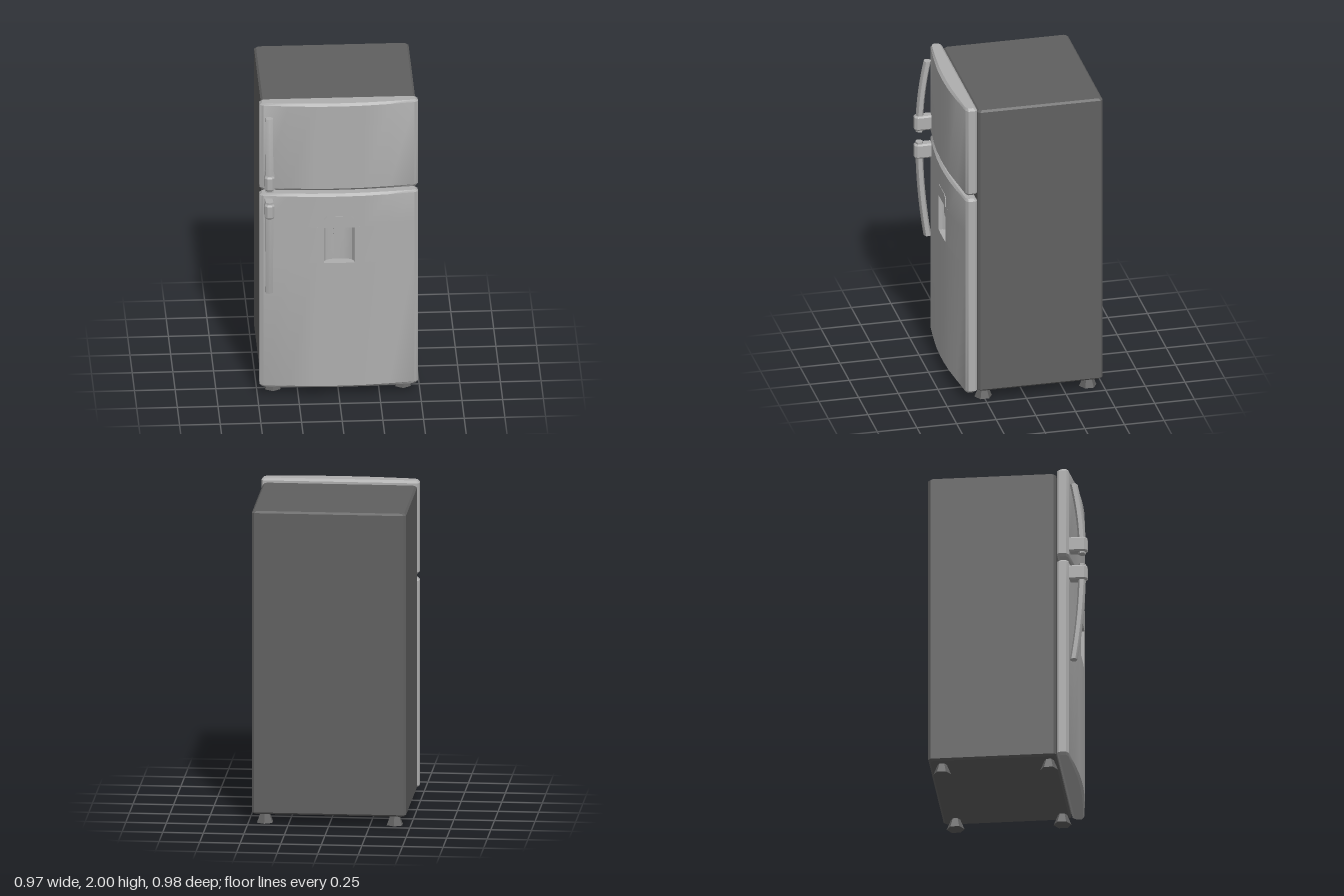
import * as THREE from 'three';
import { toCreasedNormals } from 'three/addons/utils/BufferGeometryUtils.js';

const lightSteel = new THREE.MeshStandardMaterial({ name: 'light steel', color: 0xaeaeae });
const darkGrey = new THREE.MeshStandardMaterial({ name: 'dark grey', color: 0x606060 });

// Solid from an [x, z] outline stacked along y; each level is [y, inset, zShift]
function loft(outline, levels, crease = 0.5) {
  const pts = outline.map(([x, z]) => new THREE.Vector2(x, -z));
  if (THREE.ShapeUtils.isClockWise(pts)) pts.reverse();
  const box = new THREE.Box2().setFromPoints(pts);
  const c = box.getCenter(new THREE.Vector2());
  const half = box.getSize(new THREE.Vector2()).multiplyScalar(0.5);
  const n = pts.length, pos = [], idx = [];
  for (const [y, inset = 0, dz = 0] of levels) {
    for (const p of pts) {
      pos.push(c.x + (p.x - c.x) * (1 - inset / half.x), y,
        -(c.y + (p.y - c.y) * (1 - inset / half.y)) + dz);
    }
  }
  for (let k = 0; k < levels.length - 1; k++) {
    for (let i = 0; i < n; i++) {
      const a = k * n + i, b = k * n + (i + 1) % n;
      idx.push(a, b, b + n, a, b + n, a + n);
    }
  }
  const top = (levels.length - 1) * n;
  for (const [a, b, d] of THREE.ShapeUtils.triangulateShape(pts, [])) {
    idx.push(a, d, b, top + a, top + b, top + d);
  }
  const geo = new THREE.BufferGeometry();
  geo.setAttribute('position', new THREE.Float32BufferAttribute(pos, 3));
  geo.setIndex(idx);
  return toCreasedNormals(geo, crease);
}

// Right half of an outline, listed front to back, mirrored into a full loop
const mirrored = (right) => [...right, ...right.map(([x, z]) => [-x, z]).reverse()];

export function createModel() {
  const model = new THREE.Group();
  model.name = 'refrigerator';
  const add = (name, geo, mat, parent = model) => {
    const mesh = new THREE.Mesh(geo, mat);
    mesh.name = name;
    parent.add(mesh);
    return mesh;
  };

  // Cabinet with chamfered edges
  const cabinet = mirrored([[0.46, 0.3], [0.475, 0.285], [0.475, -0.475], [0.46, -0.49]]);
  add('cabinet', loft(cabinet, [[0.065, 0.012], [0.077], [1.963], [1.975, 0.012]]), darkGrey);

  // Bowed doors; the lower one is notched for the dispenser recess
  const side = [[0.16, 0.411], [0.31, 0.397], [0.465, 0.378], [0.487, 0.362], [0.487, 0.318], [0.475, 0.305]];
  const door = mirrored([[0.04, 0.415], ...side]);
  const notched = mirrored([[0.03, 0.352], [0.06, 0.358], [0.082, 0.37], [0.093, 0.39], [0.093, 0.4135], ...side]);
  add('freezerDoor', loft(door, [[1.41, 0.015], [1.425], [1.985], [2, 0.015]]), lightSteel);
  const lower = new THREE.Group();
  lower.name = 'fridgeDoor';
  model.add(lower);
  add('doorBottom', loft(door, [[0.065, 0.015], [0.08], [0.918]]), lightSteel, lower);
  add('doorMiddle', loft(notched, [[0.918], [1.16]]), lightSteel, lower);
  add('doorTop', loft(door, [[1.16], [1.37], [1.385, 0.015]]), lightSteel, lower);

  // Dispenser: control panel with cut corners, and a rounded lever below it
  const panel = new THREE.Shape([[-0.095, 1.16], [0.095, 1.16], [0.095, 1.215], [0.075, 1.237],
    [-0.075, 1.237], [-0.095, 1.215]].map(([x, y]) => new THREE.Vector2(x, y)));
  add('dispenserPanel', new THREE.ExtrudeGeometry(panel, { depth: 0.009, bevelEnabled: false }), lightSteel)
    .position.z = 0.4085;
  const lever = new THREE.Shape();
  lever.moveTo(-0.037, 1.165);
  lever.lineTo(-0.03, 1.08);
  lever.quadraticCurveTo(-0.025, 1.05, 0, 1.05);
  lever.quadraticCurveTo(0.025, 1.05, 0.03, 1.08);
  lever.lineTo(0.037, 1.165);
  add('dispenserLever', new THREE.ExtrudeGeometry(lever, { depth: 0.045, bevelEnabled: false, curveSegments: 5 }), lightSteel)
    .position.z = 0.35;

  // Handles: six-sided curved bar held by a chamfered collar
  const hexagon = mirrored([[0.001, 0.024], [0.023, 0.012], [0.023, -0.012], [0.001, -0.024]]);
  const collar = mirrored([[0.015, 0.49], [0.031, 0.473], [0.031, 0.375]]);
  const addHandle = (name, inner, outer) => {
    const handle = new THREE.Group();
    handle.name = name;
    handle.position.x = -0.431;
    model.add(handle);
    const dir = Math.sign(outer - inner);
    const levels = [];
    for (let i = 0; i <= 10; i++) {
      const t = i / 10;
      levels.push([inner + (outer - inner) * t, 0, 0.457 - 0.052 * t * t]);
    }
    if (dir < 0) levels.reverse();
    add('bar', loft(hexagon, levels), lightSteel, handle);
    const mid = inner + dir * 0.06;
    add('collar', loft(collar, [[mid - 0.048, 0.008], [mid - 0.038], [mid + 0.038], [mid + 0.048, 0.008]]),
      lightSteel, handle);
  };
  addHandle('freezerHandle', 1.437, 1.91);
  addHandle('fridgeHandle', 1.367, 0.725);

  // Six-sided tapered feet
  const footGeo = toCreasedNormals(new THREE.CylinderGeometry(0.027, 0.055, 0.07, 6), 0.5);
  for (const x of [-0.4, 0.4]) {
    for (const z of [0.25, -0.41]) add('foot', footGeo, darkGrey).position.set(x, 0.035, z);
  }
  return model;
}
